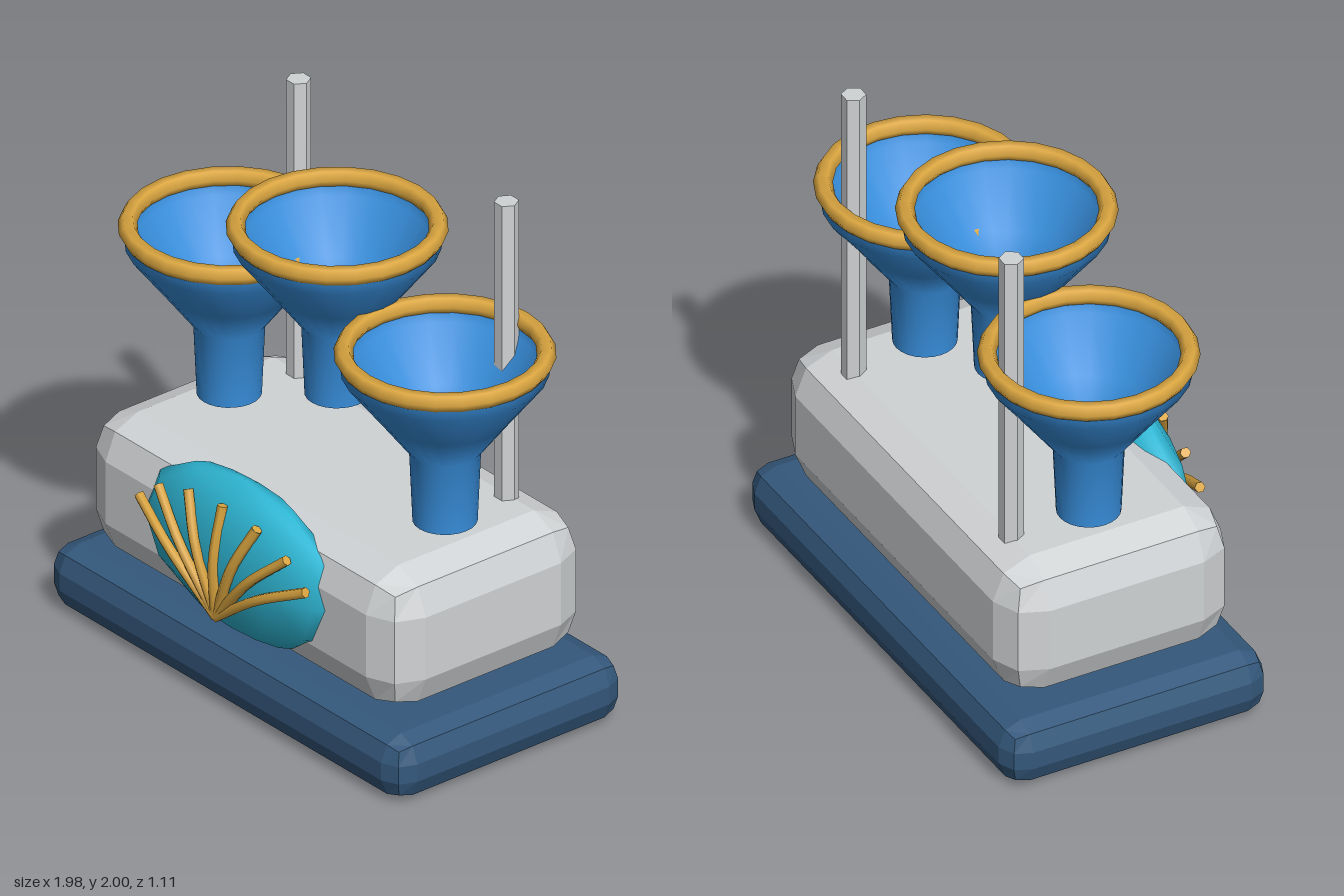
import * as THREE from 'three';
import { RoundedBoxGeometry } from 'three/addons/geometries/RoundedBoxGeometry.js';

const material = (name, color, extra = {}) => {
  const m = new THREE.MeshStandardMaterial({ color, ...extra });
  m.name = name;
  return m;
};

export function createModel() {
  const navy = material('navy', 0x34587c, { flatShading: true });
  const grey = material('lightGrey', 0xd0d3d5, { flatShading: true });
  const blue = material('blue', 0x388fdd);
  const gold = material('gold', 0xdba640);
  const turquoise = material('turquoise', 0x2fb8d6);

  const model = new THREE.Group();
  model.name = 'funnelMachine';
  const add = (parent, name, geometry, mat, x = 0, y = 0, z = 0) => {
    const mesh = new THREE.Mesh(geometry, mat);
    mesh.name = name;
    mesh.position.set(x, y, z);
    parent.add(mesh);
    return mesh;
  };

  // Plinth and body with faceted round edges
  add(model, 'base', new RoundedBoxGeometry(1.96, 0.25, 1.06, 1, 0.09), navy, 0, 0.125, -0.03);
  add(model, 'body', new RoundedBoxGeometry(1.74, 0.55, 0.92, 1, 0.15), grey, 0, 0.535, -0.03);

  // Hexagonal rods standing at the back
  for (const side of [-1, 1]) {
    const rod = new THREE.CylinderGeometry(0.045, 0.045, 1.3, 6);
    rod.rotateY(Math.PI / 6);
    add(model, 'rod', rod, grey, side * 0.575, 1.35, -0.335);
  }

  // Funnels: open spout, flared cup and ring rim
  const lathe = (points) =>
    new THREE.LatheGeometry(points.map(([r, y]) => new THREE.Vector2(r, y)), 24);
  const outer = lathe([[0.116, 0], [0.128, 0.28], [0.24, 0.43], [0.37, 0.6], [0.378, 0.67]]);
  const inner = lathe([[0.345, 0.67], [0.335, 0.61], [0.21, 0.43], [0.095, 0.28], [0.062, 0]]);
  const lip = lathe([[0.062, 0], [0.116, 0]]);
  const rim = new THREE.TorusGeometry(0.36, 0.035, 6, 24);
  rim.rotateX(Math.PI / 2);
  for (const [x, y] of [[-0.597, 0.83], [0, 1.085], [0.597, 0.83]]) {
    const funnel = new THREE.Group();
    funnel.name = 'funnel';
    funnel.position.set(x, y, -0.035);
    add(funnel, 'funnelOutside', outer, blue);
    add(funnel, 'funnelInside', inner, blue);
    add(funnel, 'spoutEdge', lip, blue);
    add(funnel, 'funnelRim', rim, gold, 0, 0.672, 0);
    model.add(funnel);
  }

  // Shell ornament on the front
  const shell = new THREE.SphereGeometry(1, 12, 6);
  shell.scale(0.535, 0.306, 0.14);
  add(model, 'shell', shell, turquoise, 0, 0.58, 0.39);

  // Ribs fanning out over the shell
  const foot = new THREE.Vector3(0, 0.375, 0.52);
  const rib = (x, y, bend) => {
    const tip = new THREE.Vector3(x, y, 0.49);
    const middle = foot.clone().lerp(tip, 0.53);
    middle.y += bend;
    middle.z = 0.532;
    const curve = new THREE.CatmullRomCurve3([foot, middle, tip]);
    add(model, 'shellRib', new THREE.TubeGeometry(curve, 8, 0.02, 6), gold);
    // Flat end caps
    for (const [t, sign] of [[0, -1], [1, 1]]) {
      const p = curve.getPoint(t);
      const cap = add(model, 'ribEnd', new THREE.CircleGeometry(0.02, 6), gold, p.x, p.y, p.z);
      cap.lookAt(p.clone().addScaledVector(curve.getTangent(t), sign));
    }
  };
  rib(0, 0.815, 0);
  for (const side of [-1, 1]) {
    rib(side * 0.19, 0.8, 0.02);
    rib(side * 0.355, 0.745, 0.025);
    rib(side * 0.46, 0.66, 0.025);
  }

  return model;
}
